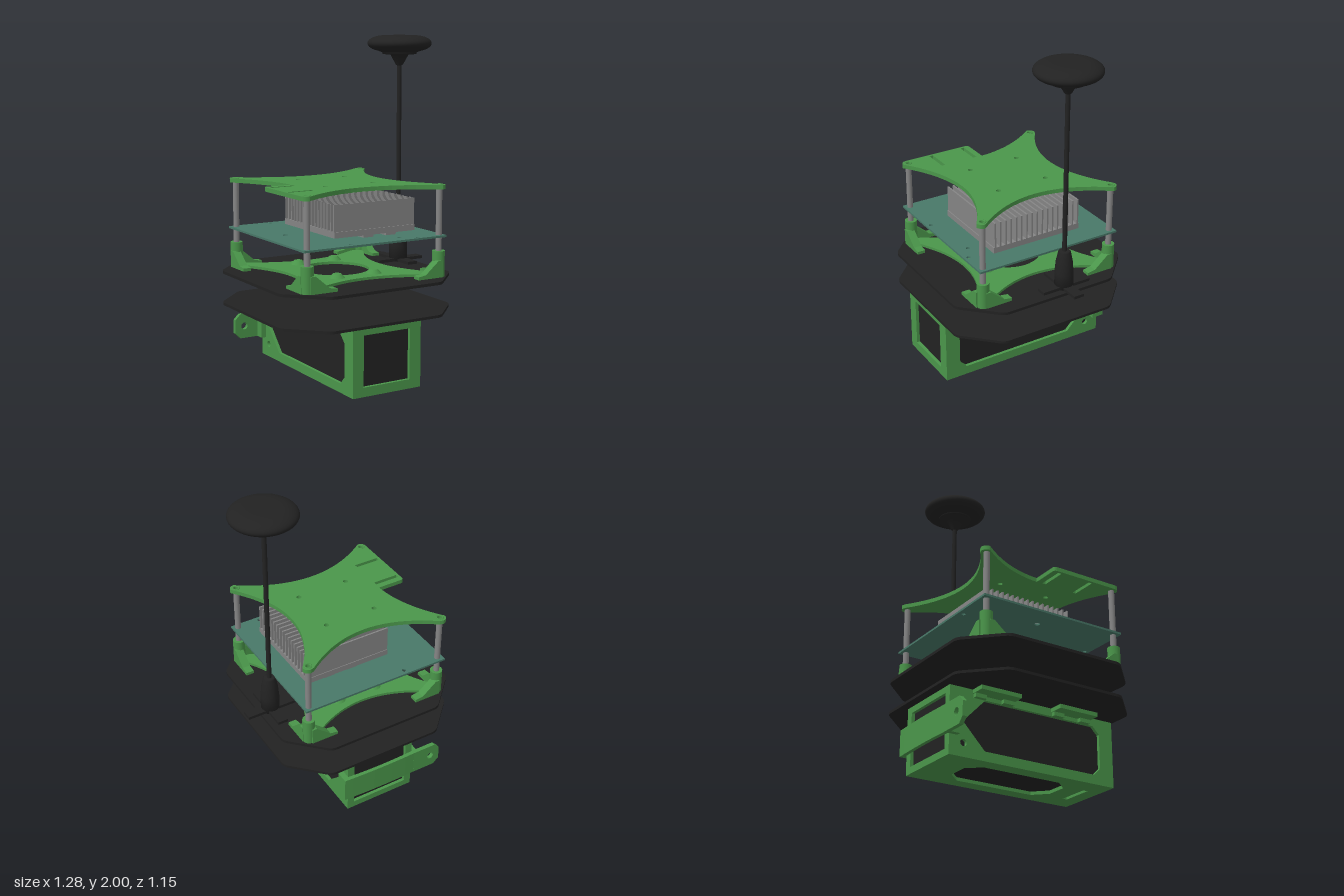
import * as THREE from 'three';

const mat = (color) => new THREE.MeshStandardMaterial({ color });

export function createModel() {
  const root = new THREE.Group();
  const green = mat(0x4a964a), black = mat(0x222222), teal = mat(0x487868), grey = mat(0x858585);
  const CX = -0.0625;
  const corners = [[-0.505, -0.435], [0.38, -0.435], [0.38, 0.435], [-0.505, 0.435]];

  // ---- helpers ----
  function add(name, geo, material, x = 0, y = 0, z = 0, parent = root) {
    const m = new THREE.Mesh(geo, material);
    m.name = name;
    m.position.set(x, y, z);
    parent.add(m);
    return m;
  }
  const box = (name, material, x0, x1, y0, y1, z0, z1, parent = root) =>
    add(name, new THREE.BoxGeometry(x1 - x0, y1 - y0, z1 - z0), material,
      (x0 + x1) / 2, (y0 + y1) / 2, (z0 + z1) / 2, parent);
  const poly = (pts) => new THREE.Shape(pts.map((p) => new THREE.Vector2(...p)));
  const rect = (a, b, c, d) => poly([[a, c], [b, c], [b, d], [a, d]]);
  const circle = (x, y, r) => new THREE.Shape().absarc(x, y, r, 0, Math.PI * 2);
  const extrude = (shape, depth, holes = []) => {
    shape.holes.push(...holes);
    return new THREE.ExtrudeGeometry(shape, { depth, bevelEnabled: false, curveSegments: 20 });
  };
  // shape drawn in (x, z), laid flat with its top at y
  const flat = (name, shape, y0, y1, material, holes, parent) =>
    add(name, extrude(shape, y1 - y0, holes).rotateX(Math.PI / 2), material, 0, y1, 0, parent);
  const group = (name) => {
    const g = new THREE.Group();
    g.name = name;
    root.add(g);
    return g;
  };

  // ---- two octagonal deck plates with rounded chamfers ----
  function deckShape() {
    const hx = 0.577, hz = 0.577, c = 0.21, r = 0.045, k = 0.7071 * r;
    const s = new THREE.Shape();
    const v = [[hx, hz - c], [hx - c, hz], [-hx + c, hz], [-hx, hz - c],
      [-hx, -hz + c], [-hx + c, -hz], [hx - c, -hz], [hx, -hz + c]];
    v.forEach(([x, z], i) => {
      const p = v[(i + 7) % 8], n = v[(i + 1) % 8];
      const toward = (q) => {
        const l = Math.hypot(q[0] - x, q[1] - z);
        return [x + CX + (q[0] - x) / l * k, z + (q[1] - z) / l * k];
      };
      const a = toward(p), b = toward(n);
      if (i) s.lineTo(...a); else s.moveTo(...a);
      s.quadraticCurveTo(x + CX, z, ...b);
    });
    return s;
  }
  flat('lowerDeck', deckShape(), 0.392, 0.408, black);
  flat('upperDeck', deckShape(), 0.585, 0.602, black);

  // ---- star outline with rounded tips and concave sides ----
  function starShape(withTab) {
    const s = new THREE.Shape();
    const r = 0.036, L = -0.505, R = 0.38, Z = 0.435;
    s.moveTo(L + 0.02, -Z - 0.03);
    s.quadraticCurveTo(CX, -0.15, R - 0.02, -Z - 0.03);
    s.absarc(R, -Z, r, -Math.PI / 2, 0);
    s.quadraticCurveTo(0.07, 0, R + r, Z);
    s.absarc(R, Z, r, 0, Math.PI / 2);
    s.quadraticCurveTo(CX, 0.15, L, Z + r);
    s.absarc(L, Z, r, Math.PI / 2, Math.PI);
    if (withTab) {
      s.lineTo(L - r, 0.02);
      s.quadraticCurveTo(L - r, 0, L - r + 0.02, 0);
      s.lineTo(-0.365, 0);
      s.quadraticCurveTo(-0.375, -0.22, L - r, -Z);
    } else s.quadraticCurveTo(-0.19, 0, L - r, -Z);
    s.absarc(L, -Z, r, Math.PI, Math.PI * 1.5);
    return s;
  }

  // ---- base frame, corner feet and lugs ----
  const base = group('baseFrame');
  flat('baseStar', starShape(false), 0.602, 0.618, green, [circle(CX, 0, 0.2)], base);
  const rib = extrude(poly([[0, 0], [0.17, 0], [0.17, 0.018], [0.12, 0.025], [0.03, 0.1], [0, 0.1]]), 0.05)
    .translate(0, 0, -0.025);
  for (const [x, z] of corners) {
    const foot = new THREE.Group();
    foot.name = 'cornerFoot';
    foot.position.set(x, 0.602, z);
    base.add(foot);
    add('footPost', new THREE.CylinderGeometry(0.037, 0.037, 0.153, 24), green, 0, 0.0765, 0, foot);
    const sx = x < 0 ? 1 : -1, sz = z < 0 ? 1 : -1;
    add('footRibX', rib, green, 0, 0, -sz * 0.02, foot).rotation.y = sx > 0 ? 0 : Math.PI;
    add('footRibZ', rib, green, -sx * 0.015, 0, 0, foot).rotation.y = sz > 0 ? -Math.PI / 2 : Math.PI / 2;
    add('standoff', new THREE.CylinderGeometry(0.018, 0.018, 0.37, 20), grey, x, 0.94, z);
  }
  for (const x of [-0.19, 0.06]) for (const z of [-0.23, 0.23])
    add('lug', new THREE.CylinderGeometry(0.025, 0.052, 0.03, 16), green, x, 0.627, z, base);

  // ---- circuit board ----
  const boardHoles = [[-0.27, -0.435, 0.012], [-0.39, -0.02, 0.017], [0.135, 0.39, 0.012],
    [-0.225, 0.44, 0.012], [0.23, 0.44, 0.012]].map((h) => circle(...h));
  flat('circuitBoard', rect(-0.54, 0.412, -0.468, 0.468), 0.836, 0.848, teal, boardHoles);

  // ---- heat sink ----
  const sink = group('heatSink');
  box('sinkBase', grey, -0.255, 0.295, 0.865, 0.9, -0.275, 0.31, sink);
  for (let i = 0; i < 17; i++) {
    const z = 0.299 - i * 0.0353;
    box('fin', grey, -0.255, 0.295, 0.9, 1.057, z - 0.005, z + 0.005, sink);
  }
  for (const z of [0.26, -0.23]) for (const x of [-0.015, 0.14])
    box('sinkFoot', grey, x - 0.035, x + 0.035, 0.847, 0.867, z - 0.03, z + 0.03, sink);

  // ---- top plate ----
  const topHoles = [];
  for (const x of [-0.225, 0.1]) for (const z of [-0.163, 0.16]) topHoles.push(circle(x, z, 0.015));
  for (const z of [0.037, 0.255]) topHoles.push(rect(-0.525, -0.367, z, z + 0.023));
  for (const [x, z] of corners) {
    topHoles.push(circle(x, z, 0.014));
    add('postCollar', new THREE.TorusGeometry(0.019, 0.005, 8, 24).rotateX(Math.PI / 2), green, x, 1.144, z);
  }
  flat('topPlate', starShape(true), 1.12, 1.145, green, topHoles);

  // ---- antenna ----
  const antenna = group('antenna');
  antenna.position.set(0.44, 0, -0.078);
  const lathe = (name, pts) => add(name, new THREE.LatheGeometry(pts.map((p) => new THREE.Vector2(...p)), 40),
    black, 0, 0, 0, antenna);
  lathe('antennaSocket', [[0, 0.602], [0.056, 0.602], [0.056, 0.7], [0.05, 0.77], [0.037, 0.835], [0.03, 0.842], [0, 0.842]]);
  lathe('antennaRod', [[0.014, 0.83], [0.014, 1.84]]);
  lathe('antennaNeck', [[0.014, 1.815], [0.022, 1.82], [0.055, 1.88], [0.105, 1.884], [0.105, 1.9]]);
  const dome = [[0, 1.89], [0.1, 1.892]];
  for (let i = 0; i <= 20; i++) {
    const a = -1.1 + (1.1 + Math.PI / 2) * i / 20;
    dome.push([0.13 * Math.cos(a) ** 0.9 + 0.066 * Math.min(1, Math.cos(a) * 3), 1.949 + 0.051 * Math.sin(a)]);
  }
  dome[dome.length - 1][0] = 0;
  lathe('antennaDome', dome);
  for (let i = 0; i < 4; i++) {
    const arm = new THREE.BoxGeometry(0.16, 0.018, 0.065).translate(0.08, 0, 0).rotateY(i * Math.PI / 2);
    add('antennaFlange', arm, black, 0, 0.612, 0, antenna);
  }

  // ---- battery cage ----
  const cage = group('batteryCage');
  const X0 = -0.29, X1 = 0.165, Z0 = -0.525, Z1 = 0.568, T = 0.03, H = 0.392;
  const sideShape = () => rect(Z0, Z1, 0, H);
  const sideWindow = () => poly([[0.43, 0.055], [0.475, 0.1], [0.475, 0.3], [0.43, 0.345],
    [-0.3, 0.345], [-0.44, 0.2], [-0.3, 0.055]]);
  for (const x of [X1, X0 + T]) {
    const g = extrude(sideShape(), T, [sideWindow(), circle(-0.435, 0.08, 0.02)]).rotateY(-Math.PI / 2);
    add('cageSide', g, green, x, 0, 0, cage);
  }
  const frontWindow = () => rect(-0.22, 0.09, 0.055, 0.355);
  add('cageFront', extrude(rect(X0, X1, 0, H), T, [frontWindow()]), green, 0, 0, Z1 - T, cage);
  add('cageBack', extrude(rect(X0, X1, 0, H), T, [rect(-0.245, 0.12, 0.04, 0.355)]), green, 0, 0, Z0, cage);
  const bottomWindow = poly([[-0.2, -0.25], [-0.13, -0.33], [0, -0.33], [0.08, -0.25],
    [0.08, 0.25], [0, 0.33], [-0.13, 0.33], [-0.2, 0.25]]);
  flat('cageBottom', rect(X0, X1, Z0, Z1), 0, T, green, [bottomWindow, rect(-0.16, 0.04, 0.45, 0.48)], cage);

  // mounting ears under the lower deck
  for (const z of [0.27, -0.25]) {
    box('ear', green, -0.38, 0.255, 0.368, H, z - 0.13, z + 0.13, cage);
    for (const dz of [-0.09, 0.09])
      box('earRib', green, X0 - 0.025, X1 + 0.025, 0.345, 0.37, z + dz - 0.035, z + dz + 0.035, cage);
  }
  box('battery', black, X0 + 0.02, X1 - 0.02, 0.02, 0.37, Z0 + 0.02, Z1 - 0.02);

  // ---- bowed rear strap: hooks the left side, free end drilled on the right ----
  const strap = group('rearStrap');
  const band = new THREE.Shape();
  band.moveTo(0.2, -0.47);
  band.lineTo(0.166, -0.47);
  band.lineTo(0.166, -0.527);
  band.quadraticCurveTo(-0.06, -0.545, -0.3, -0.53);
  band.lineTo(-0.3, -0.555);
  band.quadraticCurveTo(-0.06, -0.565, 0.2, -0.55);
  flat('strapBand', band, 0.115, 0.27, green, [], strap);
  const tab = poly([[-0.29, 0.115], [-0.29, 0.27], [-0.44, 0.27], [-0.475, 0.235], [-0.475, 0.15], [-0.44, 0.115]]);
  add('strapTab', extrude(tab, 0.026, [circle(-0.412, 0.192, 0.022)]), green, 0, 0, -0.556, strap);
  box('strapBlock', green, -0.32, X0, 0.115, 0.27, -0.535, -0.475, strap);

  return root;
}
